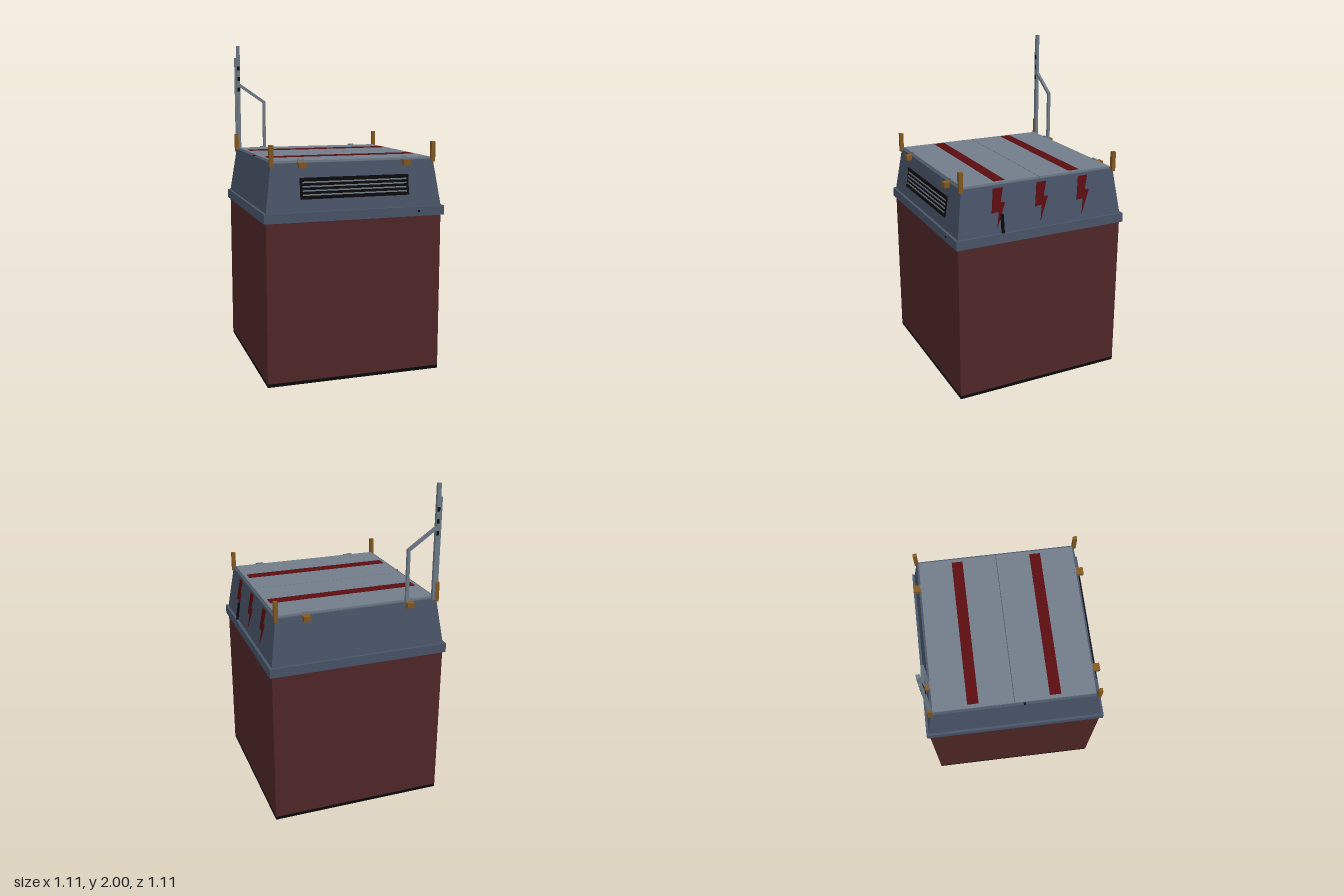
import * as THREE from 'three';

const mat = (name, color) => {
  const m = new THREE.MeshStandardMaterial({ color });
  m.name = name;
  return m;
};

export function createModel() {
  const group = new THREE.Group();
  const body = mat('dark maroon', 0x522728);
  const hoodBlue = mat('slate blue', 0x4a566a);
  const grey = mat('light steel', 0x717d8a);
  const red = mat('deep red', 0x5c0d10);
  const brass = mat('brass', 0x855a22);
  const black = mat('black', 0x0a0a0a);

  const add = (name, geo, material) => {
    const mesh = new THREE.Mesh(geo, material);
    mesh.name = name;
    group.add(mesh);
    return mesh;
  };
  // Box given by its extents on each axis
  const box = (name, material, [x0, x1], [y0, y1], [z0, z1]) =>
    add(name, new THREE.BoxGeometry(x1 - x0, y1 - y0, z1 - z0)
      .translate((x0 + x1) / 2, (y0 + y1) / 2, (z0 + z1) / 2), material);

  // Distance of the sloping hood wall from the centre at a height
  const wallAt = (y) => 0.54 - (y - 1.025) * (0.04 / 0.28);
  // Shear a geometry so that its local zero lies on the sloping wall
  const lean = (geo, axis) => {
    const p = geo.attributes.position;
    for (let i = 0; i < p.count; i++) {
      const v = [p.getX(i), p.getY(i), p.getZ(i)];
      v[axis] += wallAt(v[1]);
      p.setXYZ(i, ...v);
    }
    geo.computeVertexNormals();
    return geo;
  };

  // Main body, base and rim
  box('base', black, [-0.54, 0.54], [0, 0.02], [-0.54, 0.54]);
  box('body', body, [-0.54, 0.54], [0.02, 0.97], [-0.54, 0.54]);
  box('rim', hoodBlue, [-0.555, 0.555], [0.97, 1.027], [-0.555, 0.555]);
  box('rimBolt', black, [0.385, 0.397], [0.995, 1.005], [0.55, 0.557]);

  // Tapered hood
  const hood = new THREE.BoxGeometry(1, 0.28, 1).translate(0, 1.165, 0);
  const hp = hood.attributes.position;
  for (let i = 0; i < hp.count; i++) {
    const w = wallAt(hp.getY(i)) * 2;
    hp.setXYZ(i, hp.getX(i) * w, hp.getY(i), hp.getZ(i) * w);
  }
  hood.computeVertexNormals();
  add('hood', hood, hoodBlue);

  // Two lid panels, each with a stripe
  for (const s of [-1, 1]) {
    const z = [0.002 * s, 0.487 * s].sort((a, b) => a - b);
    box('lidPanel', grey, [-0.487, 0.487], [1.3, 1.318], z);
    box('lidStripe', red, [-0.465, 0.465], [1.316, 1.321], [0.246 * s - 0.034, 0.246 * s + 0.034]);
  }

  // Corner posts and hinge latches
  for (const sx of [-1, 1]) {
    for (const sz of [-1, 1]) {
      const x = 0.498 * sx, z = 0.502 * sz;
      box('cornerPost', brass, [x - 0.012, x + 0.012], [1.29, 1.41], [z - 0.012, z + 0.012]);
      const lx = 0.32 * sx, lz = 0.513 * sz, tz = 0.484 * sz;
      box('latch', brass, [lx - 0.022, lx + 0.022], [1.277, 1.308], [lz - 0.022, lz + 0.022]);
      box('latchFoot', brass, [lx - 0.028, lx + 0.028], [1.297, 1.308], [0.495 * sz - 0.004, 0.495 * sz + 0.004]);
      box('latchTab', grey, [lx - 0.018, lx + 0.018], [1.3, 1.325], [tz - 0.006, tz + 0.006]);
    }
  }

  // Front vent with slats
  const ventPart = (name, material, w, y0, y1, depth) =>
    add(name, lean(new THREE.BoxGeometry(w, y1 - y0, depth)
      .translate(0, (y0 + y1) / 2, depth / 2), 2), material);
  ventPart('ventBack', black, 0.67, 1.1, 1.22, 0.004);
  for (const y of [1.103, 1.217]) ventPart('ventFrame', black, 0.67, y - 0.004, y + 0.004, 0.009);
  for (let i = 0; i < 4; i++) {
    const y = 1.123 + i * 0.024;
    ventPart('ventSlat', grey, 0.64, y - 0.004, y + 0.004, 0.007);
  }

  // Lightning bolts on the +x wall
  const bolt = new THREE.Shape([
    [-0.02, 1.29], [-0.037, 1.15], [0.008, 1.155], [-0.006, 1.065],
    [0.05, 1.203], [0.022, 1.207], [0.042, 1.29],
  ].map(([x, y]) => new THREE.Vector2(x, y)));
  for (const z of [0.285, 0.005, -0.275]) {
    const geo = new THREE.ExtrudeGeometry(bolt, { depth: 0.004, bevelEnabled: false })
      .rotateY(Math.PI / 2).translate(0, 0, z);
    add('lightningBolt', lean(geo, 0), red);
  }
  add('sideHandle', lean(new THREE.BoxGeometry(0.014, 0.11, 0.016).translate(0.005, 1.083, 0.26), 0), black);

  // Mast at the back corner with its braced rail
  const mz = [-0.51, -0.49];
  box('mast', grey, [-0.491, -0.469], [1.3, 2], mz);
  box('mastStrip', grey, [-0.505, -0.493], [1.3, 1.92], [-0.505, -0.495]);
  for (const y of [1.71, 1.78, 1.85])
    box('mastHole', black, [-0.488, -0.472], [y - 0.013, y + 0.013], [-0.512, -0.488]);
  box('railPost', grey, [-0.314, -0.296], [1.3, 1.63], [-0.509, -0.491]);
  const a = new THREE.Vector2(-0.48, 1.745), b = new THREE.Vector2(-0.305, 1.624);
  const d = b.clone().sub(a);
  const brace = add('railBrace', new THREE.BoxGeometry(d.length(), 0.018, 0.018), grey);
  brace.position.set((a.x + b.x) / 2, (a.y + b.y) / 2, -0.5);
  brace.rotation.z = Math.atan2(d.y, d.x);
  // Lid edge rod on the mast side
  box('lidRod', hoodBlue, [-0.503, -0.491], [1.3, 1.31], [-0.49, 0.487]);
  box('rodClip', black, [-0.503, -0.491], [1.305, 1.315], [0.052, 0.066]);

  return group;
}
